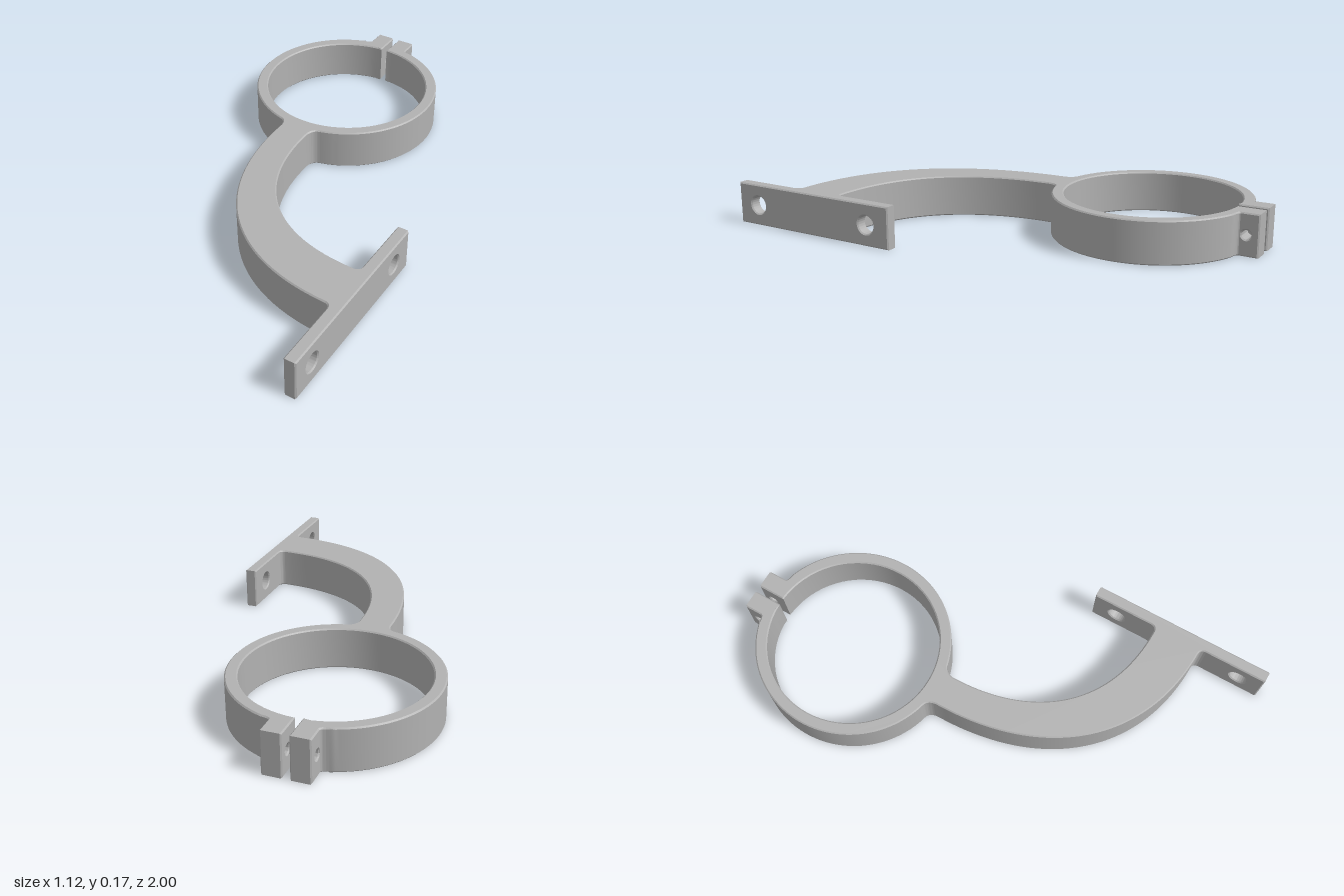
import * as THREE from 'three';
import { toCreasedNormals } from 'three/addons/utils/BufferGeometryUtils.js';

const H = 0.17;      // overall height
const BEVEL = 0.005; // small edge chamfer
const rad = THREE.MathUtils.degToRad;

// Extrude a shape to an exact depth, with its outline kept true
function extrude(shape, depth) {
  return new THREE.ExtrudeGeometry(shape, {
    depth: depth - 2 * BEVEL, curveSegments: 36, bevelEnabled: true, bevelSegments: 1,
    bevelSize: BEVEL, bevelThickness: BEVEL, bevelOffset: -BEVEL,
  }).translate(0, 0, BEVEL);
}

// Upright block between x0 and x1, with round holes running along x (u = -z)
function drilledBlock(x0, x1, u0, u1, holes, r) {
  const s = new THREE.Shape();
  s.moveTo(u0, 0).lineTo(u1, 0).lineTo(u1, H).lineTo(u0, H).closePath();
  for (const u of holes) s.holes.push(new THREE.Path().absarc(u, H / 2, r, 0, Math.PI * 2, true));
  return extrude(s, x1 - x0).rotateY(Math.PI / 2).translate(x0, 0, 0);
}

// Plan outline of the split ring and its curved arm, drawn in x and -z
function bodyShape() {
  const cx = -0.16, cv = 0.532, R = 0.4, r = 0.352;
  const s = new THREE.Shape();
  s.moveTo(-0.175, 0.8837);
  s.lineTo(-0.175, 0.927).lineTo(-0.252, 0.927);
  s.quadraticCurveTo(-0.254, 0.916, -0.285, 0.912);
  s.absarc(cx, cv, R, rad(108.2), rad(255.5), false);
  // outer side of the arm
  s.quadraticCurveTo(-0.23, 0.138, -0.227, 0.1);
  s.bezierCurveTo(-0.227, -0.4, 0.05, -0.7, 0.485, -0.712);
  s.quadraticCurveTo(0.51, -0.712, 0.51, -0.74);
  s.lineTo(0.525, -0.74).lineTo(0.525, -0.485).lineTo(0.51, -0.485);
  // inner side of the arm
  s.quadraticCurveTo(0.51, -0.512, 0.485, -0.512);
  s.bezierCurveTo(0.09, -0.51, -0.095, -0.25, -0.095, 0.1);
  s.quadraticCurveTo(-0.09, 0.138, -0.06, 0.145);
  s.absarc(cx, cv, R, rad(284.5), rad(360 + 71.8), false);
  s.quadraticCurveTo(-0.072, 0.916, -0.07, 0.927);
  s.lineTo(-0.148, 0.927).lineTo(-0.148, 0.8837);
  s.absarc(cx, cv, r, rad(88), rad(92.4), true);
  return s;
}

export function createModel() {
  const group = new THREE.Group();
  group.name = 'clampBracket';
  const grey = new THREE.MeshStandardMaterial({ color: 0xb2b2b2 });
  grey.name = 'grey';

  const add = (name, geometry) => {
    const mesh = new THREE.Mesh(toCreasedNormals(geometry, 0.5), grey);
    mesh.name = name;
    group.add(mesh);
  };

  add('ringAndArm', extrude(bodyShape(), H).rotateX(-Math.PI / 2));
  // clamping lugs either side of the slit
  add('rightLug', drilledBlock(-0.252, -0.175, 0.9, 1, [0.95], 0.019));
  add('leftLug', drilledBlock(-0.148, -0.07, 0.9, 1, [0.95], 0.019));
  // mounting plate with two screw holes
  add('mountingPlate', drilledBlock(0.51, 0.558, -1, -0.232, [-0.9, -0.34], 0.037));
  return group;
}
